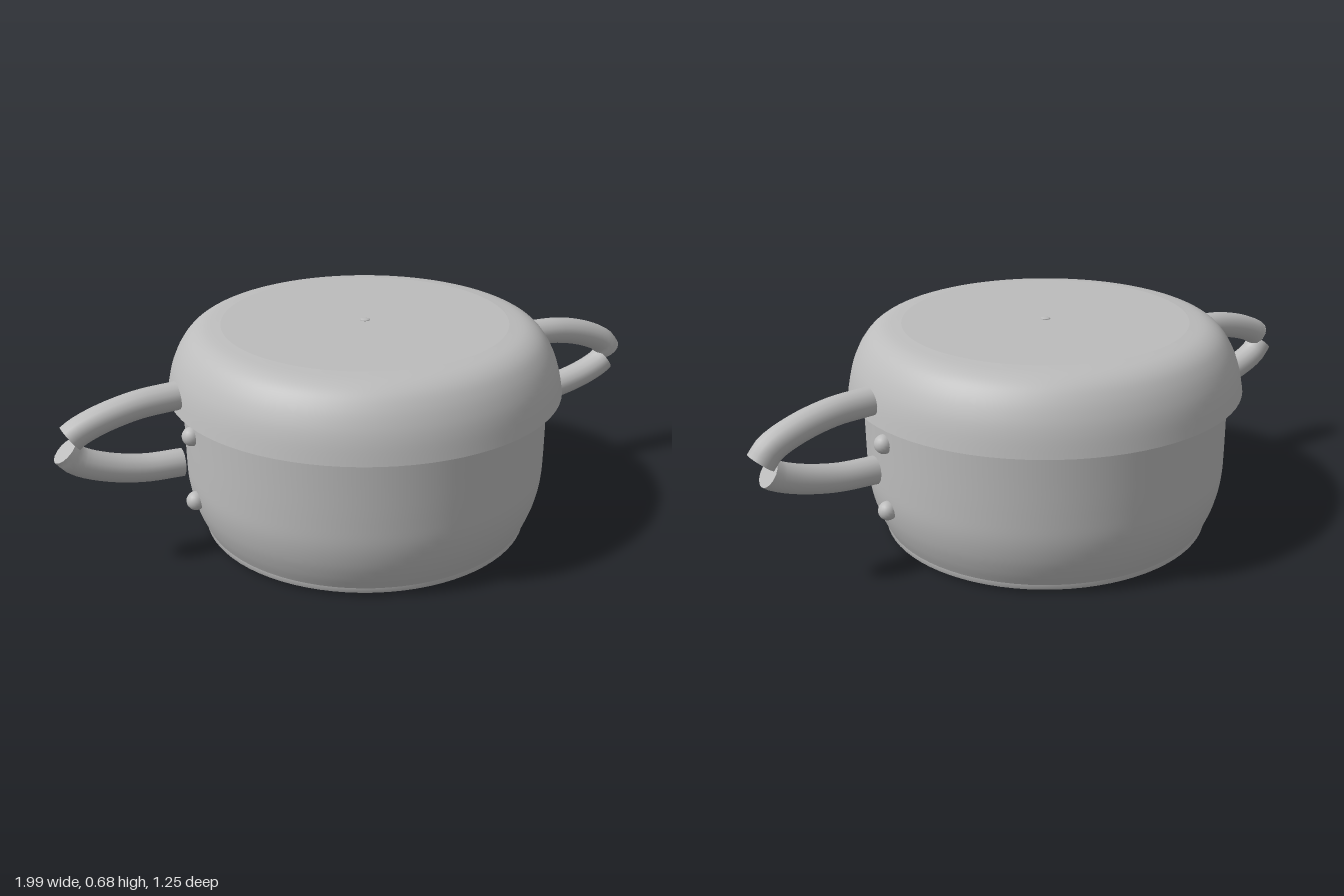
import * as THREE from 'three';
import { mergeGeometries } from 'three/addons/utils/BufferGeometryUtils.js';

const steel = new THREE.MeshStandardMaterial({ color: 0xbcbcbc, side: THREE.DoubleSide });
steel.name = 'brushed steel';

function part(name, geometry) {
  const mesh = new THREE.Mesh(geometry, steel);
  mesh.name = name;
  return mesh;
}

const v2 = (list) => list.map(([r, y]) => new THREE.Vector2(r, y));

// Smooth lathe wall through a few [radius, y] points
function turned(points) {
  const curve = new THREE.SplineCurve(v2(points));
  return new THREE.LatheGeometry(curve.getPoints(28), 80);
}

// Flat-profiled lathe for discs and rings
const ring = (points) => new THREE.LatheGeometry(v2(points), 80);

// Capped round bar along a curve in the xy plane
function bar(points, radius) {
  const curve = new THREE.CatmullRomCurve3(points.map(([x, y]) => new THREE.Vector3(x, y, 0)));
  const pieces = [new THREE.TubeGeometry(curve, 18, radius, 14)];
  for (const t of [0, 1]) {
    const tangent = curve.getTangentAt(t).multiplyScalar(t ? 1 : -1);
    const cap = new THREE.CircleGeometry(radius, 14);
    cap.applyQuaternion(new THREE.Quaternion().setFromUnitVectors(new THREE.Vector3(0, 0, 1), tangent));
    cap.translate(...curve.getPointAt(t).toArray());
    pieces.push(cap);
  }
  return mergeGeometries(pieces);
}

// Handle made of two bars that meet in a kinked tip, centred on its own height
function handle(name) {
  const group = new THREE.Group();
  group.name = name;
  const r = 0.044;
  group.add(part('longArm', bar([[0.618, 0.112], [0.74, 0.105], [0.85, 0.078], [0.93, 0.04], [0.961, 0.004]], r)));
  group.add(part('shortArm', bar([[0.618, -0.108], [0.74, -0.1], [0.85, -0.075], [0.92, -0.047], [0.942, -0.032]], r)));
  return group;
}

export function createModel() {
  const model = new THREE.Group();
  model.name = 'cookingPot';

  // Pot body and base
  model.add(part('potWall', turned([[0.53, 0.028], [0.549, 0.07], [0.567, 0.125], [0.578, 0.19], [0.58, 0.27], [0.58, 0.38], [0.58, 0.48]])));
  model.add(part('baseRim', ring([[0.522, 0.008], [0.529, 0.012], [0.53, 0.03]])));
  model.add(part('baseDisc', ring([[0, 0.004], [0.522, 0.008]])));

  // Lid with flared skirt
  model.add(part('lidWall', turned([[0.625, 0.472], [0.613, 0.53], [0.598, 0.575], [0.575, 0.618], [0.545, 0.652], [0.505, 0.672], [0.45, 0.68]])));
  model.add(part('lidTop', ring([[0.45, 0.68], [0.3, 0.679], [0, 0.677]])));
  model.add(part('lidUnderside', ring([[0.575, 0.474], [0.625, 0.472]])));

  // Small centre marks on the lid and base
  for (const [name, y] of [['lidPip', 0.678], ['basePip', 0.004]]) {
    const pip = part(name, new THREE.SphereGeometry(0.016, 10, 6));
    pip.scale.y = 0.25;
    pip.position.y = y;
    model.add(pip);
  }

  // Side handles: the second is the first one turned half round
  const left = handle('leftHandle');
  const right = handle('rightHandle');
  right.rotation.z = Math.PI;
  for (const h of [left, right]) {
    h.position.y = 0.425;
    model.add(h);
  }

  // Rivets
  for (const side of [1, -1]) {
    for (const y of [0.392, 0.172]) {
      const rivet = part('rivet', new THREE.SphereGeometry(0.03, 18, 12));
      rivet.position.set(side * 0.583, y, 0);
      model.add(rivet);
    }
  }
  return model;
}
